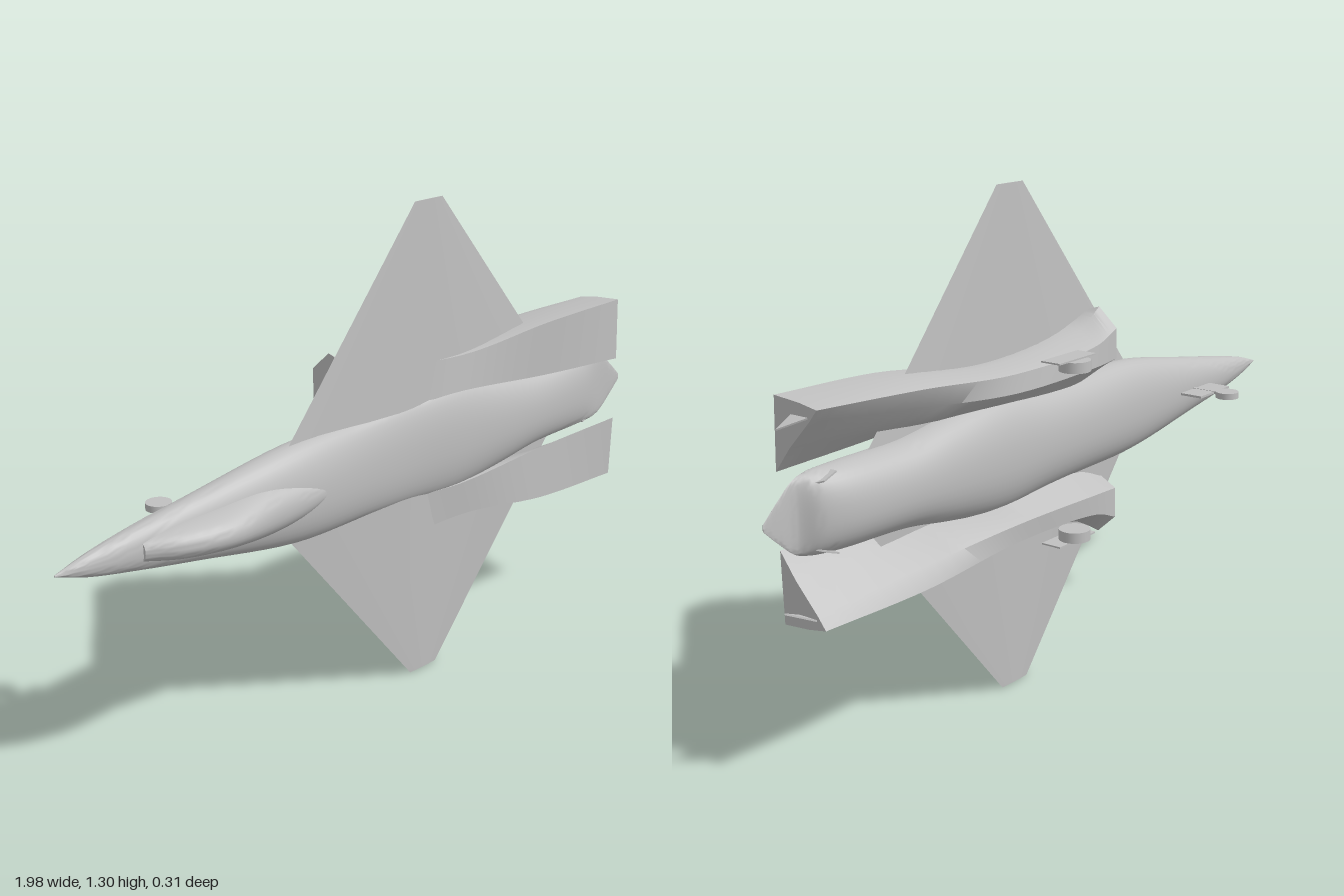
import * as THREE from 'three';
import { toCreasedNormals } from 'three/addons/utils/BufferGeometryUtils.js';

const CY = 0.652; // height of the aircraft's centreline (nose at -x, upper side at +z)
const grey = new THREE.MeshStandardMaterial({ color: 0xc0c0c0 });
grey.name = 'airframe grey';

function add(parent, name, geometry) {
  const mesh = new THREE.Mesh(geometry, grey);
  mesh.name = name;
  parent.add(mesh);
  return mesh;
}

// Skin a list of closed rings ([x, y, z] points) and cap both ends.
function loft(rings, crease = 0.6) {
  const n = rings[0].length;
  const pos = rings.flat(2);
  const idx = [];
  for (let i = 0; i < rings.length - 1; i++) {
    for (let j = 0; j < n; j++) {
      const a = i * n + j, b = i * n + ((j + 1) % n);
      idx.push(a, b, a + n, b, b + n, a + n);
    }
  }
  for (const end of [0, rings.length - 1]) {
    const centre = [0, 1, 2].map(k => rings[end].reduce((s, p) => s + p[k], 0) / n);
    const c = pos.length / 3;
    pos.push(...centre);
    for (let j = 0; j < n; j++) {
      const a = end * n + j, b = end * n + ((j + 1) % n);
      if (end) idx.push(a, b, c); else idx.push(b, a, c);
    }
  }
  // Turn the faces outward if the rings ran the other way round
  let volume = 0;
  const v = i => new THREE.Vector3().fromArray(pos, i * 3);
  for (let i = 0; i < idx.length; i += 3) {
    volume += v(idx[i]).sub(v(0)).dot(v(idx[i + 1]).sub(v(0)).cross(v(idx[i + 2]).sub(v(0))));
  }
  if (volume < 0) idx.reverse();
  const g = new THREE.BufferGeometry();
  g.setAttribute('position', new THREE.Float32BufferAttribute(pos, 3));
  g.setIndex(idx);
  return toCreasedNormals(g, crease);
}

// Stations are [x, half width, edge z, top z, bottom z]; smooth in between.
function hull(stations, steps, power) {
  const rows = [];
  const width = new THREE.CatmullRomCurve3(stations.map(s => new THREE.Vector3(s[0], s[1], s[2])), false, 'centripetal');
  const depth = new THREE.CatmullRomCurve3(stations.map(s => new THREE.Vector3(s[0], s[3], s[4])), false, 'centripetal');
  for (let i = 0; i <= steps; i++) {
    const w = width.getPoint(i / steps), d = depth.getPoint(i / steps);
    const ring = [];
    for (let j = 0; j < 40; j++) {
      const a = (j / 40) * Math.PI * 2, c = Math.cos(a), s = Math.sin(a);
      const r = k => Math.sign(k) * Math.abs(k) ** power;
      const height = s > 0 ? d.y - w.z : w.z - d.z;
      ring.push([w.x, CY + Math.max(w.y, 0.001) * r(c), w.z + Math.max(height, 0.001) * r(s)]);
    }
    rows.push(ring);
  }
  return loft(rows, 0.7);
}

export function createModel() {
  const jet = new THREE.Group();
  jet.name = 'jetAircraft';

  // Fuselage, running out into a thin pointed tail
  add(jet, 'fuselage', hull([
    [-0.98, 0.002, 0.03, 0.032, 0.028],
    [-0.9, 0.026, 0.033, 0.052, 0.013],
    [-0.76, 0.053, 0.036, 0.07, -0.008],
    [-0.6, 0.08, 0.04, 0.085, -0.015],
    [-0.31, 0.126, 0.045, 0.11, -0.026],
    [-0.05, 0.132, 0.045, 0.092, -0.038],
    [0.1, 0.138, 0.045, 0.088, -0.041],
    [0.27, 0.15, 0.045, 0.1, -0.041],
    [0.45, 0.128, 0.045, 0.108, -0.04],
    [0.6, 0.105, 0.05, 0.105, -0.035],
    [0.8, 0.1, 0.056, 0.088, -0.015],
    [0.87, 0.096, 0.06, 0.072, 0.012],
    [0.91, 0.085, 0.06, 0.064, 0.052],
    [0.96, 0.045, 0.06, 0.062, 0.058],
    [1.0, 0.008, 0.06, 0.061, 0.059],
  ], 84, 0.9));

  // Cockpit canopy
  add(jet, 'canopy', hull([
    [-0.77, 0.024, 0.055, 0.076, 0.045],
    [-0.69, 0.038, 0.06, 0.122, 0.045],
    [-0.57, 0.048, 0.065, 0.152, 0.045],
    [-0.42, 0.06, 0.07, 0.132, 0.045],
    [-0.28, 0.045, 0.07, 0.114, 0.045],
    [-0.15, 0.01, 0.065, 0.09, 0.045],
  ], 30, 0.9));

  // Engine nacelle corners at each station: [offset from centreline, z]
  const nacelle = [
    [-0.13, [[0.295, 0.035], [0.18, 0.04], [0.15, -0.01], [0.175, -0.055], [0.255, -0.055], [0.305, 0.0]]],
    [-0.04, [[0.26, 0.045], [0.13, 0.045], [0.12, 0.0], [0.17, -0.06], [0.225, -0.058], [0.255, 0.0]]],
    [0.28, [[0.225, 0.072], [0.13, 0.08], [0.12, 0.01], [0.165, -0.055], [0.212, -0.052], [0.232, 0.0]]],
    [0.6, [[0.255, 0.104], [0.105, 0.1], [0.13, 0.05], [0.19, -0.022], [0.237, -0.042], [0.253, 0.0]]],
    [0.9, [[0.263, 0.115], [0.09, 0.12], [0.15, 0.075], [0.22, 0.01], [0.248, -0.012], [0.257, 0.04]]],
  ];

  for (const side of [1, -1]) {
    const label = side > 0 ? 'upper' : 'lower';
    const y = offset => CY + side * offset;

    // Wing: lens-shaped section tapering to a thin clipped tip
    const wing = [];
    for (const [off, front, back, half] of [[0.05, -0.376, 0.729, 0.019], [0.648, 0.12, 0.22, 0.0015]]) {
      const ring = [];
      for (let j = 0; j < 24; j++) {
        const a = (j / 24) * Math.PI * 2;
        const s = Math.sin(a);
        ring.push([(front + back) / 2 + ((back - front) / 2) * Math.cos(a), y(off), 0.051 + half * s * Math.abs(s)]);
      }
      wing.push(ring);
    }
    add(jet, label + 'Wing', loft(wing));

    // Nacelle: follow each corner along a smooth curve
    const curves = nacelle[0][1].map((_, k) => new THREE.CatmullRomCurve3(
      nacelle.map(([x, p]) => new THREE.Vector3(x, y(p[k][0]), p[k][1])), false, 'centripetal'));
    const rings = [];
    for (let i = 0; i <= 28; i++) rings.push(curves.map(c => c.getPoint(i / 28).toArray()));
    add(jet, label + 'Nacelle', loft(rings, 0.75));

    // Small triangular exhaust vanes behind nacelle and body
    const vane = (name, x, off, lean, length) => {
      const shape = new THREE.Shape();
      shape.moveTo(-0.04, 0.015);
      shape.lineTo(0, 0.015);
      shape.lineTo(length, 0.06);
      shape.lineTo(-0.04, 0.07);
      const g = new THREE.ExtrudeGeometry(shape, { depth: 0.004, bevelEnabled: false });
      g.rotateX(Math.PI / 2); // plate now spans x and z
      const m = add(jet, name, g);
      m.position.set(x, y(off), 0);
      m.rotation.z = side * lean;
    };
    vane(label + 'NacelleVane', 0.9, 0.228, -0.4, 0.055);
    vane(label + 'TailVane', 0.86, 0.08, -0.35, 0.04);

    // Main wheel and its door
    const gear = new THREE.Group();
    gear.name = label + 'MainGear';
    gear.position.set(0.133, y(0.216), 0);
    jet.add(gear);
    add(gear, 'mainWheel', new THREE.CylinderGeometry(0.04, 0.04, 0.027, 28)).position.z = -0.116;
    add(gear, 'mainGearDoor', new THREE.BoxGeometry(0.148, 0.004, 0.056)).position.set(0, side * 0.0155, -0.098);
  }

  // Nose wheel, strut and door
  const noseGear = new THREE.Group();
  noseGear.name = 'noseGear';
  noseGear.position.set(-0.573, CY, 0);
  jet.add(noseGear);
  add(noseGear, 'noseWheel', new THREE.CylinderGeometry(0.032, 0.032, 0.017, 28)).position.z = -0.125;
  add(noseGear, 'noseStrut', new THREE.BoxGeometry(0.012, 0.008, 0.09)).position.z = -0.06;
  add(noseGear, 'noseGearDoor', new THREE.BoxGeometry(0.15, 0.006, 0.066)).position.z = -0.053;

  return jet;
}
